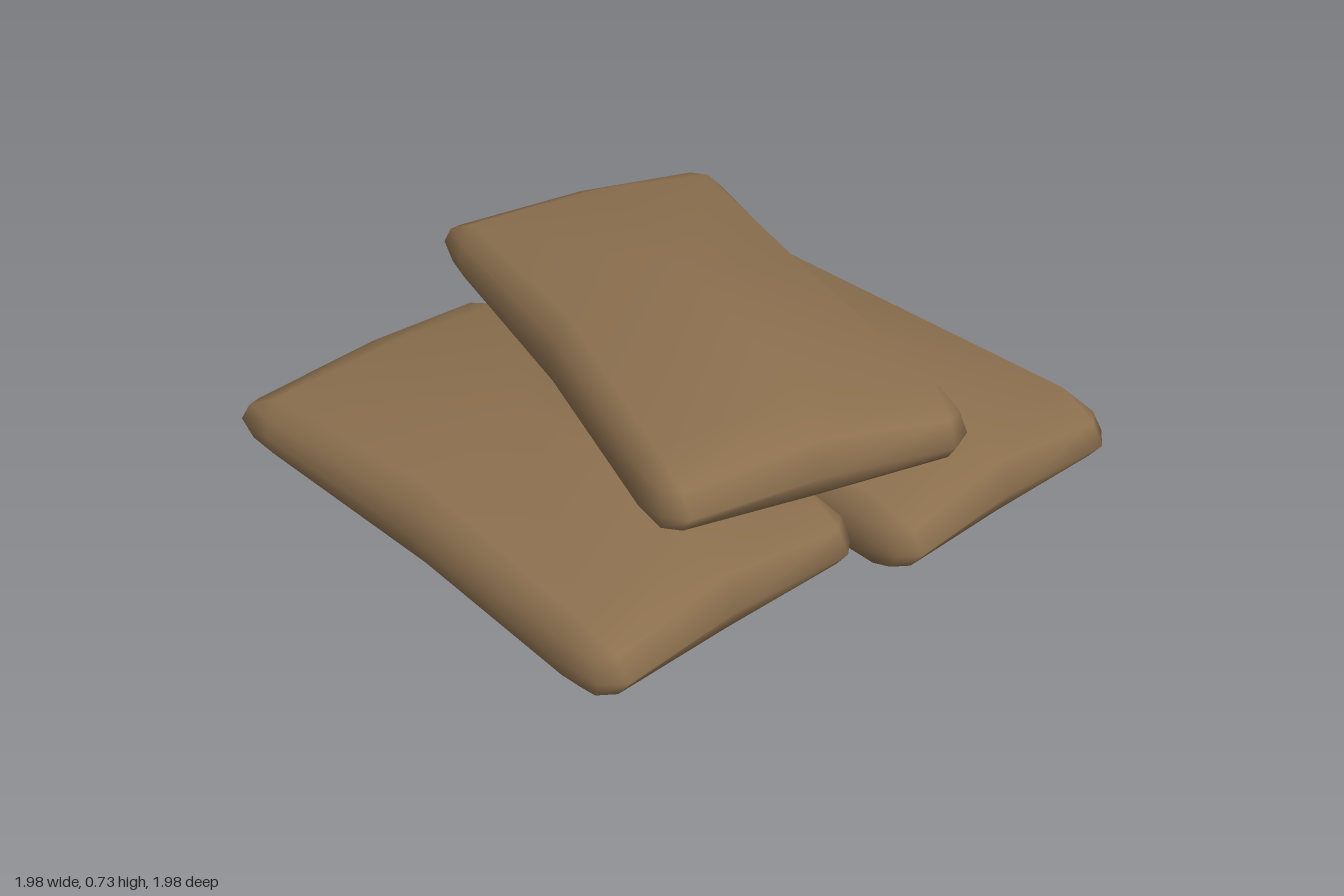
import * as THREE from 'three';
import { mergeVertices } from 'three/addons/utils/BufferGeometryUtils.js';

// Seam outline of a bag (x, z): back left corner, back, back right, right, front right, front, front left, left
const SEAM = [
  [-0.445, -0.72], [-0.435, -0.87], [-0.38, -0.885], [0.05, -0.888],
  [0.46, -0.89], [0.51, -0.83], [0.52, -0.69], [0.45, 0.01],
  [0.45, 0.71], [0.43, 0.85], [0.36, 0.90], [-0.03, 0.855],
  [-0.44, 0.86], [-0.50, 0.81], [-0.51, 0.65], [-0.445, -0.04],
];
// Shoulder of the bag (x, z, height above the seam), one entry per corner or edge middle
const SHOULDER = [
  [-0.39, -0.73, 0.115], [0.03, -0.67, 0.17], [0.45, -0.70, 0.115], [0.38, 0.01, 0.145],
  [0.39, 0.72, 0.115], [-0.02, 0.66, 0.17], [-0.45, 0.69, 0.115], [-0.38, -0.03, 0.145],
];
const CROWN = 0.22;

function bagGeometry() {
  const n = SEAM.length;
  const seam = SEAM.map(([x, z]) => new THREE.Vector3(x, 0, z));
  // Three seam points share each corner of the shoulder
  const shoulder = seam.map((_, i) => {
    const [x, z, y] = SHOULDER[Math.floor(i / 4) * 2 + (i % 4 === 3 ? 1 : 0)];
    return new THREE.Vector3(x, y, z);
  });
  const side = seam.map((p, i) => {
    const v = p.clone().lerp(shoulder[i], 0.25);
    v.y = shoulder[i].y * 0.52;
    return v;
  });
  const crown = seam.map(() => new THREE.Vector3(0, CROWN, 0));
  const flip = (ring) => ring.map((p) => new THREE.Vector3(p.x, -p.y, p.z));
  const rings = [flip(crown), flip(shoulder), flip(side), seam, side, shoulder, crown];

  const points = [];
  const addTriangle = (a, b, c) => {
    if (a.equals(b) || b.equals(c) || c.equals(a)) return;
    points.push(a, b, c);
  };
  for (let r = 0; r < rings.length - 1; r++) {
    for (let i = 0; i < n; i++) {
      const j = (i + 1) % n;
      const lower = rings[r], upper = rings[r + 1];
      addTriangle(lower[i], upper[i], lower[j]);
      addTriangle(lower[j], upper[i], upper[j]);
    }
  }
  // Shared vertices give soft, smooth cloth
  const geometry = mergeVertices(new THREE.BufferGeometry().setFromPoints(points));
  geometry.computeVertexNormals();
  return geometry;
}

export function createModel() {
  const group = new THREE.Group();
  group.name = 'sandbagStack';
  const burlap = new THREE.MeshStandardMaterial({ name: 'burlap brown', color: 0x8b6f4e });
  const geometry = bagGeometry();

  const addBag = (name, x, y, z, turn) => {
    const bag = new THREE.Mesh(geometry, burlap);
    bag.name = name;
    bag.position.set(x, y, z);
    bag.rotation.y = turn;
    group.add(bag);
  };
  // Two bags side by side with a third laid askew on top
  addBag('rightBag', -0.48, 0.225, -0.10, 0);
  addBag('leftBag', 0.47, 0.225, 0.09, 0);
  addBag('topBag', 0.08, 0.517, -0.03, -0.305);
  return group;
}
